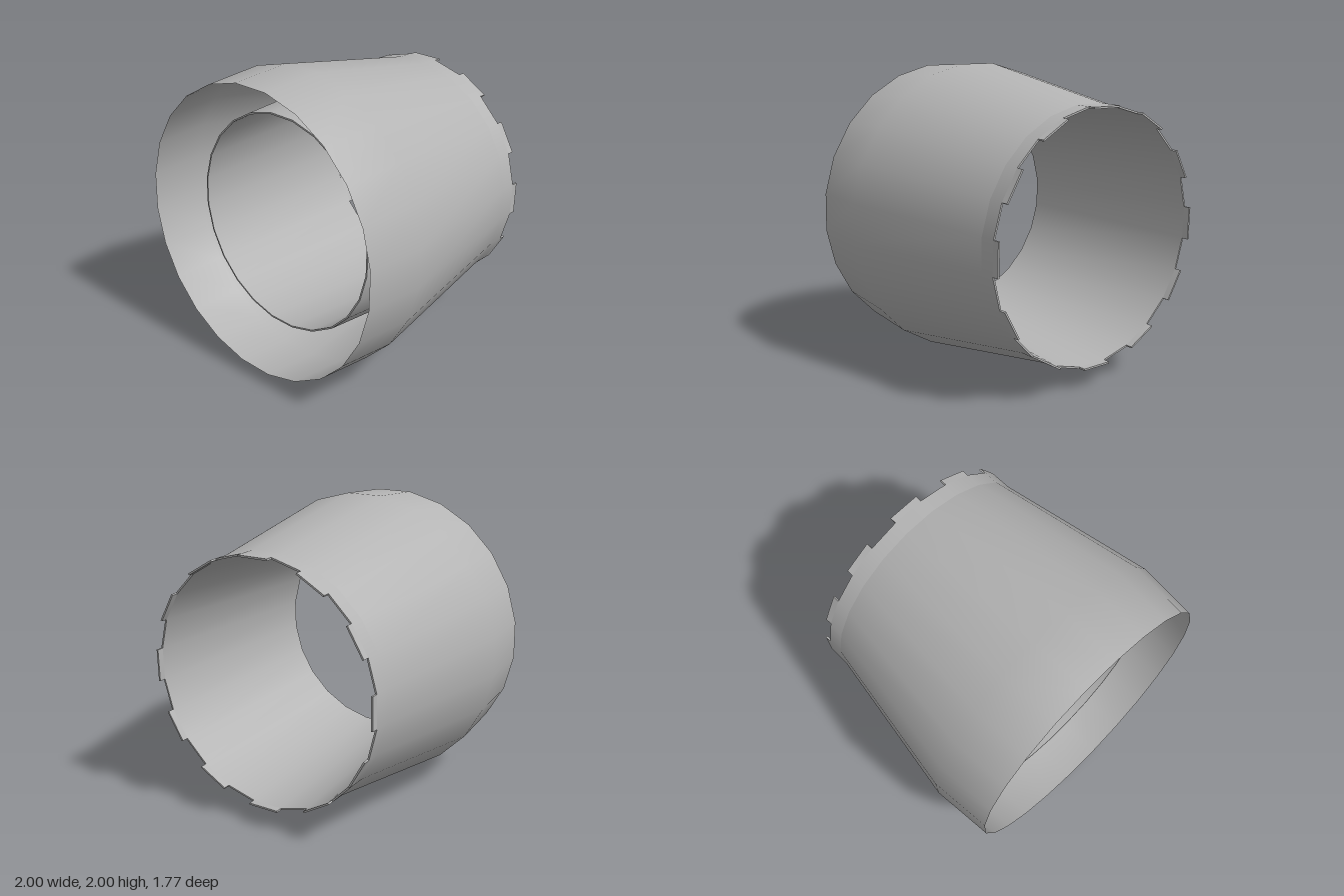
import * as THREE from 'three';

export function createModel() {
  const model = new THREE.Group();
  model.name = 'nozzleSleeve';

  const metal = new THREE.MeshStandardMaterial({ color: 0xb4b4b4, side: THREE.DoubleSide });
  metal.name = 'grey metal';

  const SIDES = 24;
  const STEP = (Math.PI * 2) / SIDES;

  // Ring of revolution along z from [radius, z] pairs, flats facing the axes
  function ring(name, profile) {
    const points = profile.map(([r, z]) => new THREE.Vector2(r, z));
    const geometry = new THREE.LatheGeometry(points, SIDES, STEP / 2);
    geometry.rotateX(Math.PI / 2);
    const mesh = new THREE.Mesh(geometry, metal);
    mesh.name = name;
    model.add(mesh);
  }

  const collarStart = -1.11;
  const base = -1.215;
  const toothLength = 0.045;
  const outer = 0.832;
  const wall = 0.012;

  // Outer shell: tapered body, widest a little behind the front rim
  ring('outerShell', [[outer, collarStart], [1.0086, 0], [0.975, 0.41]]);

  // Straight collar at the back
  ring('collar', [[outer, base], [outer, collarStart]]);
  ring('collarEdge', [[outer - wall, base], [outer, base]]);

  // Inner cone, narrowing towards the front, with a thin wall
  ring('innerConeOutside', [[outer - 0.003, collarStart], [0.737, 0.16]]);
  ring('innerConeLip', [[0.737, 0.16], [0.726, 0.16]]);
  ring('innerConeInside', [[0.726, 0.16], [outer - wall, base]]);

  // Teeth on every second flat of the collar
  const apothem = outer * Math.cos(STEP / 2);
  const tooth = new THREE.BoxGeometry(2 * outer * Math.sin(STEP / 2), wall, toothLength);
  for (let i = 0; i < SIDES; i += 2) {
    const a = i * STEP;
    const r = apothem - wall / 2;
    const mesh = new THREE.Mesh(tooth, metal);
    mesh.name = 'collarTooth';
    mesh.position.set(Math.sin(a) * r, Math.cos(a) * r, base - toothLength / 2);
    mesh.rotation.z = -a;
    model.add(mesh);
  }

  // Slight tilt of the whole sleeve
  const axis = new THREE.Vector3(-0.049, 0.032, 1).normalize();
  model.quaternion.setFromUnitVectors(new THREE.Vector3(0, 0, 1), axis);
  model.position.set(0, 1, 0.42);

  const group = new THREE.Group();
  group.name = 'sleeve';
  group.add(model);
  return group;
}
